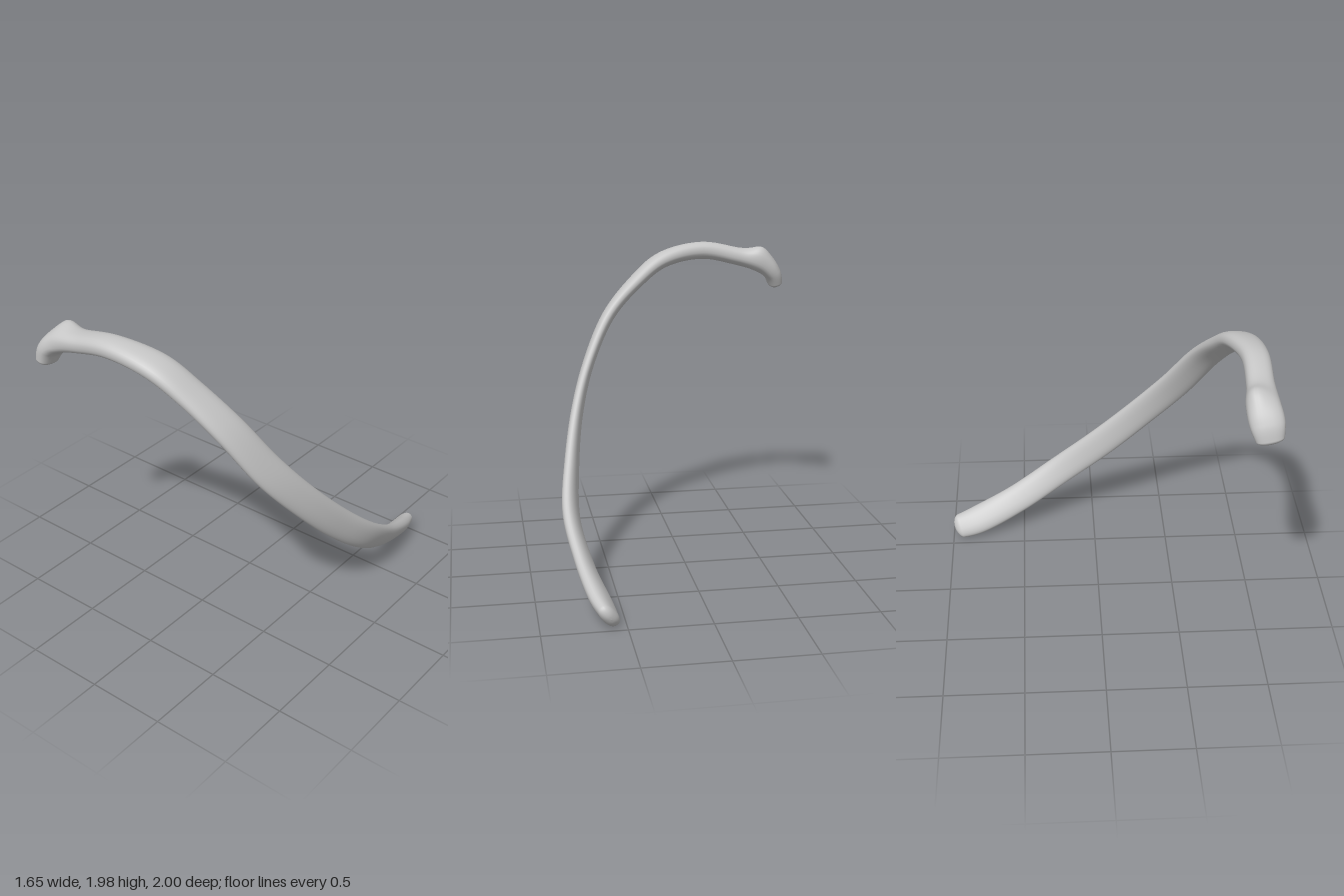
import * as THREE from 'three';

// Stations along the bone: centre, direction of the broad axis, half width, half thickness
const stations = [
  { c: [-0.805, 1.67, 0.92], w: [-0.1, -0.3, -0.95], s: [0.075, 0.045] },
  { c: [-0.765, 1.775, 0.9], w: [-0.05, -0.2, -1], s: [0.1, 0.06] },
  { c: [-0.68, 1.845, 0.885], w: [0, 0, -1], s: [0.098, 0.072] },
  { c: [-0.52, 1.885, 0.89], w: [0, 0.1, -1], s: [0.082, 0.06] },
  { c: [-0.27, 1.93, 0.892], w: [0, 0.1, -1], s: [0.083, 0.058] },
  { c: [0, 1.88, 0.845], w: [0, 0.1, -1], s: [0.1, 0.054] },
  { c: [0.2, 1.74, 0.78], w: [0, 0.15, -1], s: [0.1, 0.048] },
  { c: [0.4, 1.53, 0.685], w: [0, 0.3, -0.95], s: [0.103, 0.042] },
  { c: [0.55, 1.25, 0.535], w: [0.02, 0.45, -0.9], s: [0.105, 0.038] },
  { c: [0.65, 0.98, 0.325], w: [0.1, 0.62, -0.78], s: [0.1, 0.038] },
  { c: [0.715, 0.7, 0.06], w: [0.22, 0.7, -0.68], s: [0.1, 0.042] },
  { c: [0.748, 0.45, -0.23], w: [0.36, 0.75, -0.55], s: [0.098, 0.045] },
  { c: [0.70, 0.25, -0.53], w: [0.5, 0.75, -0.4], s: [0.098, 0.046] },
  { c: [0.635, 0.12, -0.81], w: [0.6, 0.72, -0.3], s: [0.1, 0.052] },
  { c: [0.595, 0.075, -0.99], w: [0.55, 0.75, -0.25], s: [0.08, 0.042] },
];

function curveOf(key) {
  return new THREE.CatmullRomCurve3(
    stations.map((p) => new THREE.Vector3(p[key][0], p[key][1], p[key][2] ?? 0)),
    false, 'catmullrom', 0.5);
}

// Rounded closing of both ends
function endTaper(t) {
  const d = Math.min(1, Math.min(t, 1 - t) / 0.018);
  return Math.sqrt(Math.max(0, 1 - (1 - d) ** 2));
}

function makeShaft() {
  const centre = curveOf('c'), broad = curveOf('w'), size = curveOf('s');
  const rings = 180, sides = 28;
  const positions = [], index = [];
  const bump = new THREE.Vector3(-0.685, 1.92, 0.85);
  const superCurve = (v) => Math.sign(v) * Math.abs(v) ** 0.85;

  for (let i = 0; i <= rings; i++) {
    const u = i / rings;
    const t = u - 0.9 * Math.sin(2 * Math.PI * u) / (2 * Math.PI);
    const c = centre.getPoint(t), tangent = centre.getTangent(t), s = size.getPoint(t);
    const w = broad.getPoint(t);
    w.addScaledVector(tangent, -w.dot(tangent)).normalize();
    const n = new THREE.Vector3().crossVectors(tangent, w);
    const k = endTaper(t);
    for (let j = 0; j < sides; j++) {
      const a = (j / sides) * Math.PI * 2;
      const p = c.clone()
        .addScaledVector(w, superCurve(Math.cos(a)) * s.x * k)
        .addScaledVector(n, superCurve(Math.sin(a)) * s.y * k);
      // Small tubercle raised on top behind the head
      const lift = Math.exp(-p.distanceToSquared(bump) / 0.005);
      p.y += 0.033 * lift;
      p.z -= 0.015 * lift;
      positions.push(p.x, p.y, p.z);
      if (i < rings) {
        const j2 = (j + 1) % sides;
        const p0 = i * sides + j, p1 = i * sides + j2;
        index.push(p0, p1, p0 + sides, p1, p1 + sides, p0 + sides);
      }
    }
  }
  const geometry = new THREE.BufferGeometry();
  geometry.setAttribute('position', new THREE.Float32BufferAttribute(positions, 3));
  geometry.setIndex(index);
  geometry.computeVertexNormals();
  return geometry;
}

export function createModel() {
  const group = new THREE.Group();
  group.name = 'ribBone';
  const bone = new THREE.MeshStandardMaterial({ color: 0xc6c6c6 });
  bone.name = 'paleGreyBone';
  const shaft = new THREE.Mesh(makeShaft(), bone);
  shaft.name = 'ribShaft';
  group.add(shaft);
  return group;
}
